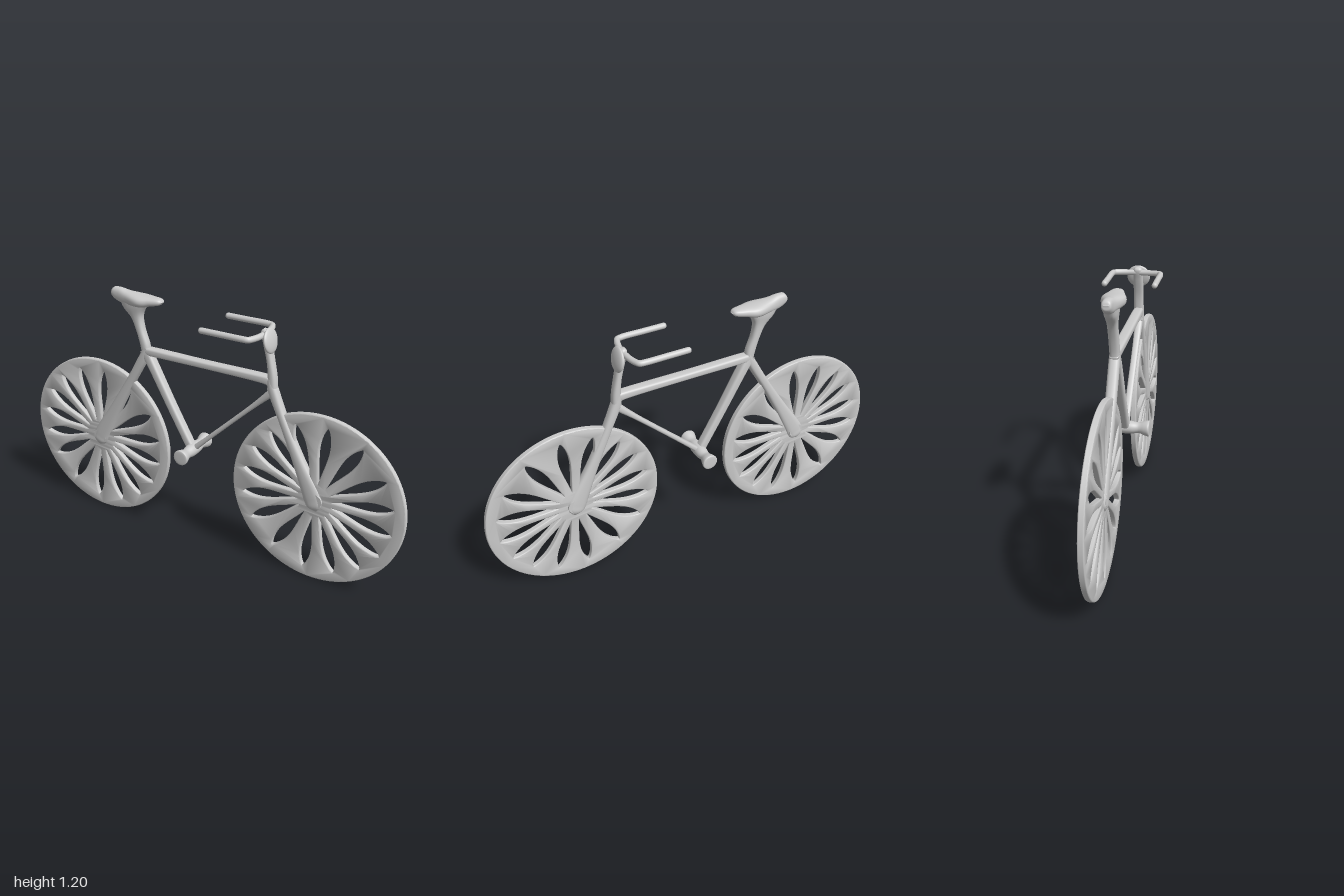
import * as THREE from 'three';
import { toCreasedNormals } from 'three/addons/utils/BufferGeometryUtils.js';

const material = new THREE.MeshStandardMaterial({ color: 0xcccccc });

function add(parent, name, geometry) {
  const mesh = new THREE.Mesh(geometry, material);
  mesh.name = name;
  parent.add(mesh);
  return mesh;
}

// Skin through stations [x, y, half width in the xy plane, half width in z].
function loft(stations, power = 2.6, steps = 40, sides = 24) {
  const curve = (i) => new THREE.CatmullRomCurve3(
    stations.map((s) => new THREE.Vector3(s[i], s[i + 1], 0)), false, 'catmullrom', 0.5);
  const path = curve(0), size = curve(2);
  const pos = [], index = [];
  const round = (v) => Math.sign(v) * Math.abs(v) ** (2 / power);
  for (let i = 0; i <= steps; i++) {
    const p = path.getPoint(i / steps), t = path.getTangent(i / steps), w = size.getPoint(i / steps);
    for (let j = 0; j < sides; j++) {
      const angle = (j / sides) * Math.PI * 2;
      const c = round(Math.cos(angle)) * Math.max(w.x, 0), s = round(Math.sin(angle)) * Math.max(w.y, 0);
      pos.push(p.x - t.y * c, p.y + t.x * c, s);
      if (i < steps) {
        const a = i * sides + j, b = i * sides + ((j + 1) % sides);
        index.push(a, b, b + sides, a, b + sides, a + sides);
      }
    }
  }
  const g = new THREE.BufferGeometry();
  g.setAttribute('position', new THREE.Float32BufferAttribute(pos, 3));
  g.setIndex(index);
  g.computeVertexNormals();
  return g;
}

// Disc wheel pierced by teardrop openings
function wheelGeometry() {
  const shape = new THREE.Shape().absarc(0, 0, 0.41, 0, Math.PI * 2);
  const half = [84, 108, 130, 150, 170, 190, 211, 237];
  for (const deg of [...half, ...half.map((d) => d + 180)]) {
    const a = THREE.MathUtils.degToRad(deg), pts = [], n = 16;
    for (let k = 0; k < 2 * n; k++) {
      const u = (1 - Math.cos((k / n) * Math.PI)) / 2;
      const r = 0.085 + 0.275 * u;
      const w = 0.025 * Math.sin(Math.PI * u ** 1.6) ** 0.75 * (k < n ? 1 : -1) || 0;
      pts.push(new THREE.Vector2(r * Math.cos(a) - w * Math.sin(a), r * Math.sin(a) + w * Math.cos(a)));
    }
    shape.holes.push(new THREE.Path(pts));
  }
  const g = new THREE.ExtrudeGeometry(shape, {
    depth: 0.008, bevelThickness: 0.009, bevelSize: 0.005, bevelOffset: -0.005,
    bevelSegments: 3, curveSegments: 96,
  });
  g.translate(0, 0, -0.004);
  return toCreasedNormals(g, 0.8);
}

export function createModel() {
  const bike = new THREE.Group();
  bike.name = 'bicycle';

  // Wheels and hubs
  const wheelGeo = wheelGeometry();
  const hubGeo = new THREE.CylinderGeometry(0.036, 0.036, 0.044, 32).rotateX(Math.PI / 2);
  for (const [name, x] of [['rearWheel', -0.59], ['frontWheel', 0.59]]) {
    const wheel = new THREE.Group();
    wheel.name = name;
    wheel.position.set(x, 0.41, 0);
    add(wheel, 'disc', wheelGeo);
    add(wheel, 'hub', hubGeo);
    bike.add(wheel);
  }

  // Fork and rear stay, widening to rounded ends at the hubs
  add(bike, 'frontFork', loft([
    [0.348, 0.93, 0.014, 0.023], [0.365, 0.87, 0.022, 0.024], [0.42, 0.745, 0.02, 0.024],
    [0.5, 0.575, 0.028, 0.024], [0.56, 0.455, 0.042, 0.025], [0.58, 0.41, 0.045, 0.025],
    [0.592, 0.378, 0.036, 0.024], [0.6, 0.352, 0, 0.01],
  ], 2.6, 56));
  add(bike, 'rearStay', loft([
    [-0.29, 0.94, 0.014, 0.022], [-0.315, 0.885, 0.022, 0.024], [-0.39, 0.755, 0.022, 0.024],
    [-0.49, 0.585, 0.03, 0.024], [-0.565, 0.455, 0.042, 0.025], [-0.588, 0.41, 0.045, 0.025],
    [-0.6, 0.38, 0.036, 0.024], [-0.608, 0.355, 0, 0.01],
  ], 2.6, 56));

  // Main frame tubes, flared slightly at the joints
  add(bike, 'topTube', loft([
    [-0.31, 0.922, 0.018, 0.02], [-0.25, 0.924, 0.019, 0.024], [0.02, 0.924, 0.017, 0.024],
    [0.3, 0.924, 0.019, 0.024], [0.355, 0.915, 0.024, 0.02],
  ], 3.5));
  add(bike, 'seatTube', loft([
    [-0.305, 0.93, 0.026, 0.022], [-0.265, 0.865, 0.022, 0.024], [-0.16, 0.675, 0.02, 0.023],
    [-0.045, 0.475, 0.02, 0.022],
  ], 3.5));
  add(bike, 'downTube', loft([
    [-0.045, 0.48, 0.014, 0.018], [0.05, 0.572, 0.011, 0.016], [0.25, 0.765, 0.011, 0.016],
    [0.36, 0.872, 0.018, 0.02],
  ]));

  // Pedal axle shaped like a spool
  const half = [[0, 0.115], [0.03, 0.114], [0.037, 0.108], [0.033, 0.09], [0.026, 0.07], [0.025, 0.055], [0.03, 0.025]];
  const spool = new THREE.SplineCurve([...half, ...half.map(([r, y]) => [r, -y]).reverse()]
    .map(([r, y]) => new THREE.Vector2(r, -y))).getPoints(60)
    .map((p) => new THREE.Vector2(Math.max(p.x, 0), p.y));
  add(bike, 'pedalAxle', new THREE.LatheGeometry(spool, 32).rotateX(Math.PI / 2)).position.set(-0.045, 0.482, 0);

  // Seat post and saddle
  add(bike, 'seatPost', loft([
    [-0.298, 0.9, 0.02, 0.02], [-0.303, 0.95, 0.022, 0.022], [-0.325, 1.02, 0.02, 0.022],
    [-0.342, 1.08, 0.03, 0.024], [-0.352, 1.125, 0.062, 0.03], [-0.355, 1.16, 0.085, 0.032],
  ]));
  add(bike, 'saddle', loft([
    [-0.478, 1.182, 0, 0.01], [-0.47, 1.18, 0.022, 0.02], [-0.435, 1.17, 0.033, 0.025],
    [-0.39, 1.163, 0.031, 0.034], [-0.315, 1.16, 0.028, 0.052], [-0.26, 1.165, 0.021, 0.038],
    [-0.215, 1.169, 0.014, 0.024], [-0.2, 1.169, 0, 0.008],
  ], 2.4, 48));

  // Stem, handlebar and round front lamp
  add(bike, 'stem', loft([
    [0.358, 0.88, 0.022, 0.023], [0.355, 0.94, 0.019, 0.023], [0.344, 1.01, 0.015, 0.023],
    [0.325, 1.09, 0.017, 0.023], [0.312, 1.135, 0.016, 0.02], [0.309, 1.148, 0, 0.006],
  ]));
  for (const side of [-1, 1]) {
    const points = [[0.312, 1.122, 0], [0.308, 1.122, 0.05], [0.298, 1.123, 0.09], [0.288, 1.124, 0.108],
      [0.265, 1.125, 0.113], [0.16, 1.125, 0.113], [0.07, 1.125, 0.113]];
    const path = new THREE.CatmullRomCurve3(points.map(([x, y, z]) => new THREE.Vector3(x, y, z * side)));
    add(bike, side > 0 ? 'leftHandlebar' : 'rightHandlebar', new THREE.TubeGeometry(path, 48, 0.0135, 14));
    add(bike, 'gripEnd', new THREE.SphereGeometry(0.0135, 14, 10)).position.set(0.07, 1.125, 0.113 * side);
  }
  const lamp = add(bike, 'frontLamp', new THREE.SphereGeometry(0.055, 32, 20));
  lamp.scale.x = 0.28;
  lamp.rotation.z = 0.22;
  lamp.position.set(0.338, 1.098, 0);

  return bike;
}
